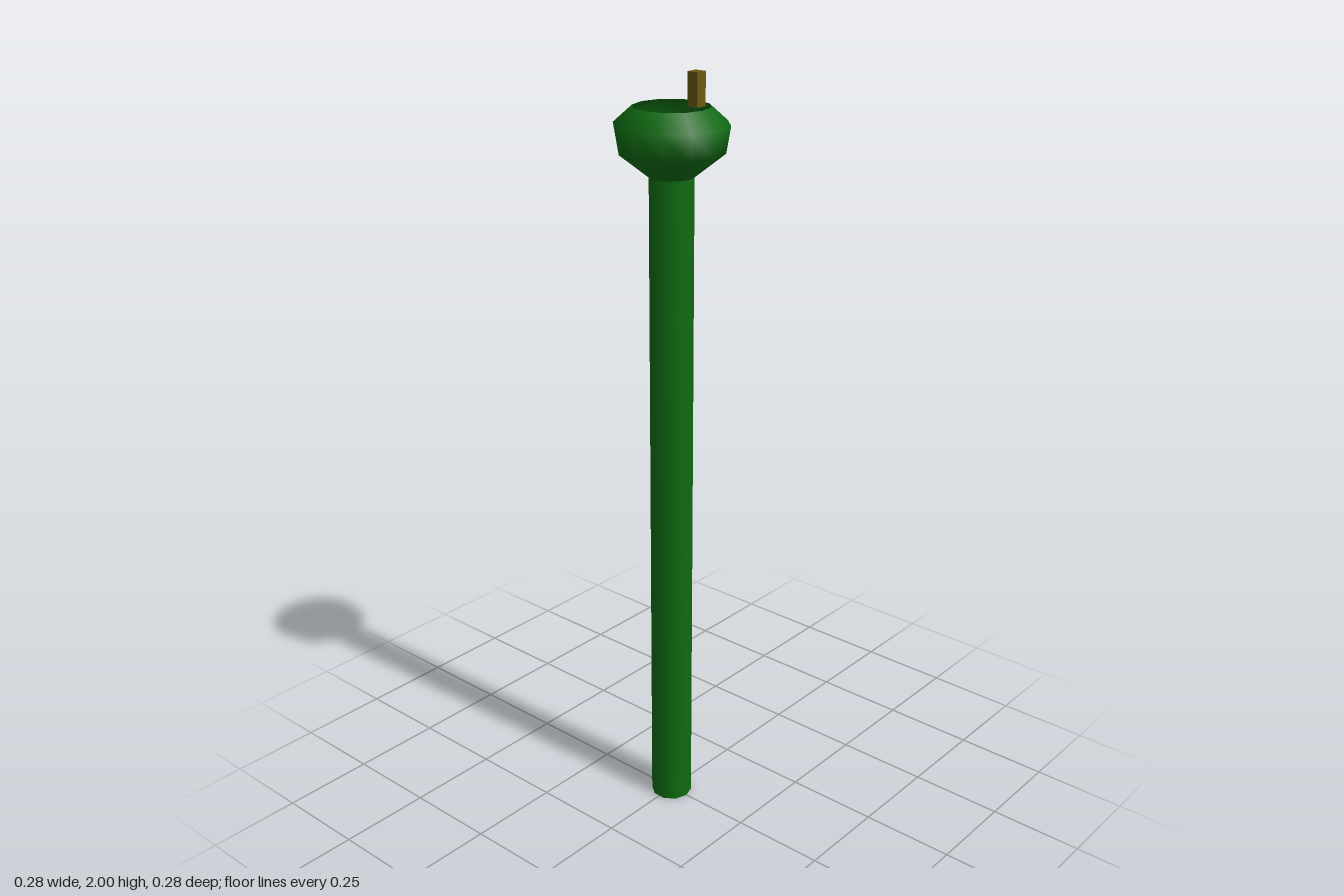
import * as THREE from 'three';

export function createModel() {
  const model = new THREE.Group();
  const green = new THREE.MeshStandardMaterial({ color: 0x0f6b12 });
  const cupGreen = new THREE.MeshStandardMaterial({ color: 0x0f6b12, side: THREE.DoubleSide });
  const ochre = new THREE.MeshStandardMaterial({ color: 0x6b5a12 });

  const add = (name, geometry, material, y, z = 0) => {
    const mesh = new THREE.Mesh(geometry, material);
    mesh.name = name;
    mesh.position.set(0, y, z);
    model.add(mesh);
  };

  // Ten-sided capped stalk
  const stemHeight = 1.747;
  add('stem', new THREE.CylinderGeometry(0.055, 0.055, stemHeight, 10), green, stemHeight / 2);

  // Hollow twelve-sided cup, open at the top
  const profile = [[0.055, 1.745], [0.131, 1.805], [0.142, 1.87], [0.095, 1.912]]
    .map(([r, y]) => new THREE.Vector2(r, y));
  add('cup', new THREE.LatheGeometry(profile, 12), cupGreen, 0);

  // Small peg floating just above the front of the rim
  add('peg', new THREE.BoxGeometry(0.03, 0.08, 0.03), ochre, 1.96, 0.076);

  return model;
}
